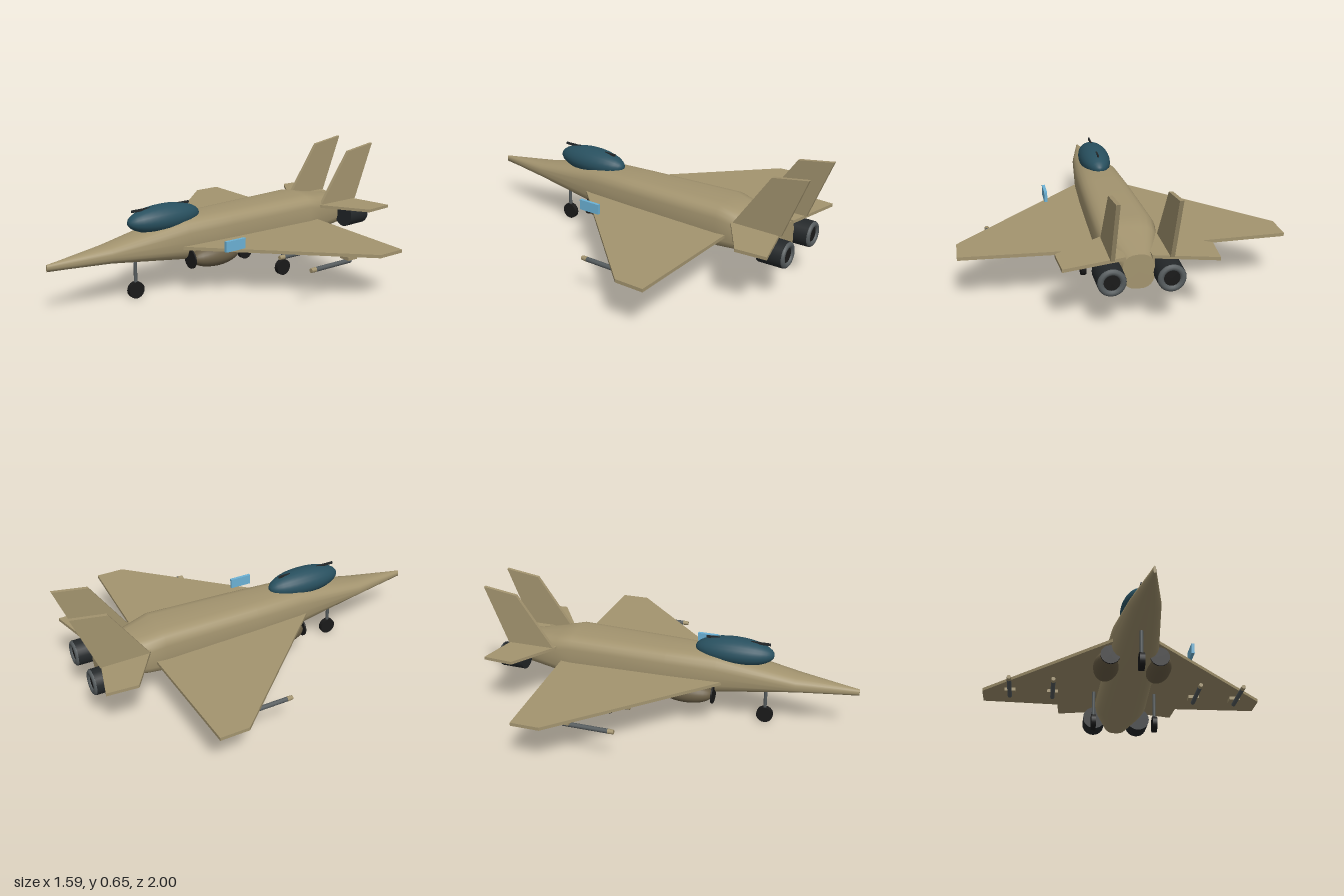
import * as THREE from 'three';

const mat = (color) => {
  const m = new THREE.MeshStandardMaterial({ side: THREE.DoubleSide });
  m.color.set(color);
  return m;
};
const TAN = mat(0xa3946f), BROWN = mat(0x6b5f47), DARK = mat(0x24282a), TYRE = mat(0x1a1a1a);
const STEEL = mat(0x555b5d), GLASS = mat(0x28505f), BLUE = mat(0x6cb2d6);

function add(parent, name, geometry, material, x = 0, y = 0, z = 0) {
  const mesh = new THREE.Mesh(geometry, material);
  mesh.name = name;
  mesh.position.set(x, y, z);
  parent.add(mesh);
  return mesh;
}

// Flat panel from an outline, extruded by its thickness
function panel(points, thickness) {
  const shape = new THREE.Shape(points.map(([a, b]) => new THREE.Vector2(a, b)));
  return new THREE.ExtrudeGeometry(shape, { depth: thickness, bevelEnabled: false })
    .translate(0, 0, -thickness / 2);
}
// Outline given as (x, z)
const flatPanel = (points, side, t) => panel(points.map(([x, z]) => [x * side, z]), t).rotateX(Math.PI / 2);
// Outline given as (z, y)
const uprightPanel = (points, t) => panel(points, t).rotateY(-Math.PI / 2);

// Body lofted through rounded-box sections: [z, half width, bottom, top, roundness]
function fuselageGeometry() {
  const sections = [
    [1.0, 0.006, 0.24, 0.276, 2.2],
    [0.68, 0.075, 0.224, 0.312, 2.4],
    [0.27, 0.122, 0.17, 0.39, 3],
    [0.0, 0.135, 0.164, 0.393, 3.4],
    [-0.53, 0.15, 0.163, 0.402, 3.6],
    [-0.62, 0.138, 0.165, 0.382, 3.2],
    [-0.85, 0.075, 0.177, 0.345, 2.6],
  ];
  const n = 24, pos = [], index = [];
  const ring = ([z, w, lo, hi, e]) => {
    for (let j = 0; j < n; j++) {
      const a = (j / n) * Math.PI * 2, c = Math.cos(a), s = Math.sin(a);
      const px = Math.sign(c) * Math.abs(c) ** (2 / e);
      const py = Math.sign(s) * Math.abs(s) ** (2 / e);
      pos.push(px * w, (lo + hi) / 2 + py * (hi - lo) / 2, z);
    }
  };
  sections.forEach(ring);
  for (let i = 0; i < sections.length - 1; i++) {
    for (let j = 0; j < n; j++) {
      const a = i * n + j, b = i * n + (j + 1) % n;
      index.push(a, a + n, b, b, a + n, b + n);
    }
  }
  // End caps with their own vertices for a crisp edge
  [[sections[0], false], [sections.at(-1), true]].forEach(([sec, rear]) => {
    const base = pos.length / 3;
    ring(sec);
    pos.push(0, (sec[2] + sec[3]) / 2, sec[0]);
    for (let j = 0; j < n; j++) {
      const p = base + j, q = base + (j + 1) % n;
      index.push(base + n, rear ? q : p, rear ? p : q);
    }
  });
  const g = new THREE.BufferGeometry();
  g.setAttribute('position', new THREE.Float32BufferAttribute(pos, 3));
  g.setIndex(index);
  g.computeVertexNormals();
  return g;
}

function engine(side) {
  const g = new THREE.Group();
  g.name = 'engine';
  g.position.set(0.135 * side, 0.253, 0);
  const barrel = new THREE.CylinderGeometry(0.068, 0.066, 0.13, 24).rotateX(Math.PI / 2);
  add(g, 'engineBarrel', barrel, DARK, 0, 0, -0.855);
  add(g, 'nozzleRing', new THREE.TorusGeometry(0.051, 0.015, 10, 24), STEEL, 0, 0, -0.918);
  add(g, 'nozzleCore', new THREE.CircleGeometry(0.045, 24).rotateY(Math.PI), TYRE, 0, 0, -0.922);
  return g;
}

function intake(side) {
  const g = new THREE.Group();
  g.name = 'intake';
  g.position.set(0.135 * side, 0.192, 0);
  add(g, 'intakePod', new THREE.SphereGeometry(1, 24, 16).rotateX(Math.PI / 2).scale(0.067, 0.058, 0.147), BROWN, 0, 0, 0.12);
  add(g, 'intakeMouth', new THREE.CylinderGeometry(0.05, 0.05, 0.008, 24).rotateX(Math.PI / 2), TYRE, -0.01 * side, 0, 0.266);
  return g;
}

function landingGear(name, x, z) {
  const g = new THREE.Group();
  g.name = name;
  g.position.set(x, 0, z);
  add(g, 'strut', new THREE.CylinderGeometry(0.009, 0.009, 0.18, 12), STEEL, 0, 0.135, 0);
  add(g, 'wheel', new THREE.CylinderGeometry(0.044, 0.044, 0.026, 20).rotateZ(Math.PI / 2), TYRE, 0, 0.044, 0);
  return g;
}

function missile(x) {
  const g = new THREE.Group();
  g.name = 'missile';
  g.position.set(x, 0.202, 0);
  add(g, 'pylon', new THREE.BoxGeometry(0.06, 0.018, 0.06), TAN, 0, 0.022, -0.345);
  add(g, 'missileBody', new THREE.CylinderGeometry(0.012, 0.012, 0.235, 12).rotateX(Math.PI / 2), STEEL, 0, 0, -0.24);
  add(g, 'missileTip', new THREE.CylinderGeometry(0.011, 0.013, 0.03, 12).rotateX(Math.PI / 2), TAN, 0, 0, -0.108);
  return g;
}

export function createModel() {
  const jet = new THREE.Group();
  jet.name = 'fighterJet';

  add(jet, 'fuselage', fuselageGeometry(), TAN);

  // Canopy with a thin spine bar over it
  add(jet, 'canopy', new THREE.SphereGeometry(1, 24, 16).rotateX(Math.PI / 2).scale(0.085, 0.072, 0.21), GLASS, 0, 0.398, 0.345);
  add(jet, 'canopyBar', new THREE.BoxGeometry(0.008, 0.012, 0.34), DARK, 0, 0.458, 0.362);

  const wing = [[0.06, 0.36], [0.11, 0.31], [0.795, -0.41], [0.795, -0.56], [0.06, -0.588]];
  const tail = [[0.06, -0.57], [0.14, -0.615], [0.365, -0.765], [0.353, -0.925], [0.06, -0.852]];
  const fin = [[-0.62, 0.335], [-0.815, 0.62], [-1, 0.648], [-0.88, 0.335]];

  for (const side of [1, -1]) {
    add(jet, 'wing', flatPanel(wing, side, 0.017), TAN, 0, 0.254, 0);
    add(jet, 'tailplane', flatPanel(tail, side, 0.016), TAN, 0, 0.33, 0);
    // The two fins sit slightly off centre
    add(jet, 'tailFin', uprightPanel(fin, 0.019), TAN, side > 0 ? 0.124 : -0.146, 0, 0);
    jet.add(engine(side), intake(side), landingGear('mainGear', 0.17 * side, -0.31));
    for (const x of [0.4, 0.637]) jet.add(missile(x * side));
  }
  jet.add(landingGear('noseGear', 0, 0.52));

  // Small blue block by the left wing's leading edge
  add(jet, 'sensorBlock', new THREE.BoxGeometry(0.016, 0.055, 0.12), BLUE, 0.31, 0.289, 0.122);

  return jet;
}
